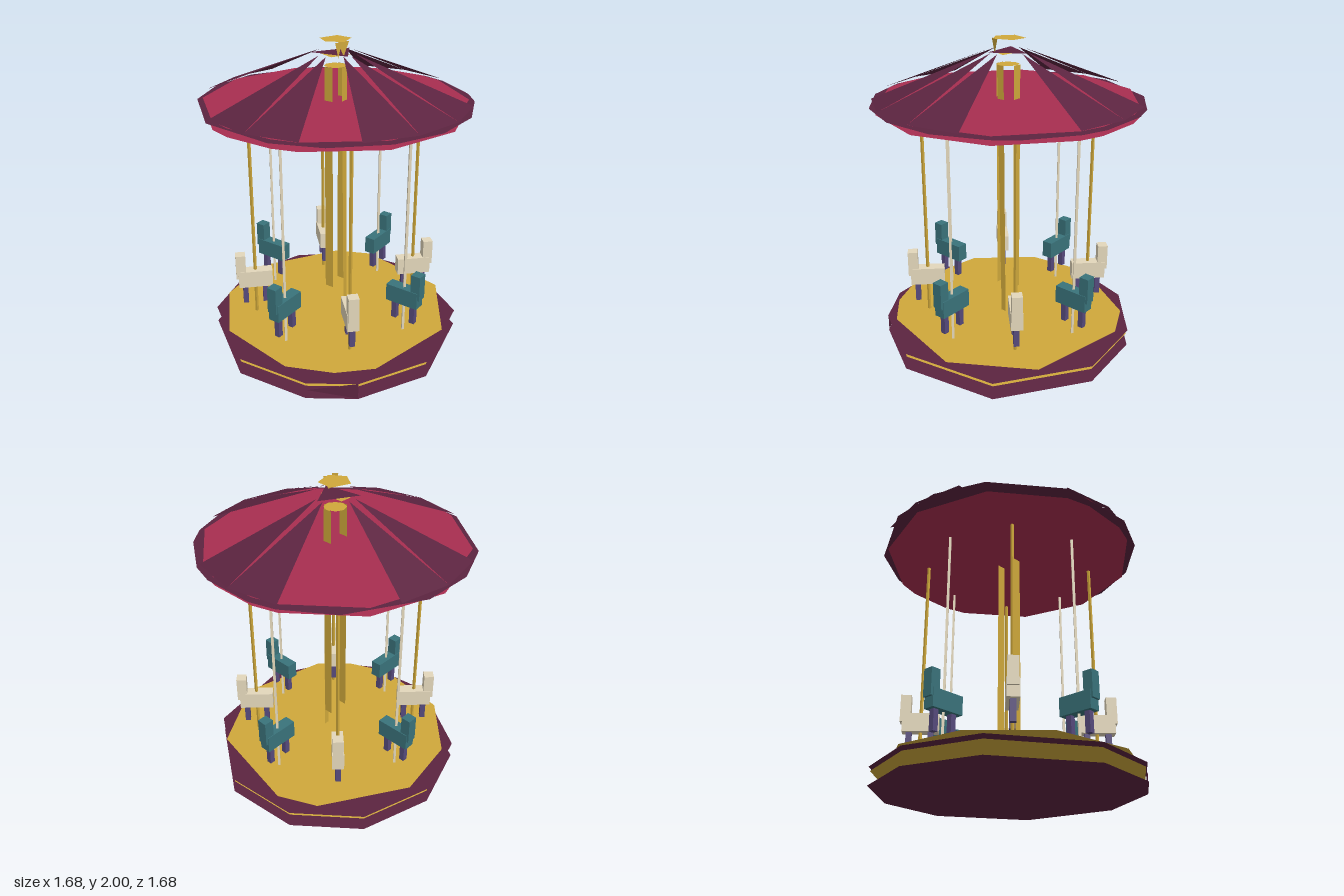
import * as THREE from 'three';

const flat = (name, color) => new THREE.MeshStandardMaterial({ name, color, flatShading: true, side: THREE.DoubleSide });

export function createModel() {
  const plum = flat('plum', 0x5c2440), red = flat('crimson', 0xa82e50), gold = flat('gold', 0xcfa83b);
  const teal = flat('teal', 0x3a737b), ivory = flat('ivory', 0xe3d7bb), violet = flat('violet', 0x564a7c);
  const model = new THREE.Group();

  // Point at an angle in degrees, measured from the front towards the model's left
  const polar = (deg, r, y) => {
    const a = THREE.MathUtils.degToRad(deg);
    return [r * Math.sin(a), y, r * Math.cos(a)];
  };
  // Flat convex panel through the given corners
  const panel = (name, pts, mat, parent = model) => {
    const g = new THREE.BufferGeometry();
    g.setAttribute('position', new THREE.Float32BufferAttribute(pts.flat(), 3));
    const index = [];
    for (let i = 1; i < pts.length - 1; i++) index.push(0, i, i + 1);
    g.setIndex(index);
    g.computeVertexNormals();
    const mesh = new THREE.Mesh(g, mat);
    mesh.name = name;
    parent.add(mesh);
  };
  const disc = (name, angles, r, y, mat) => panel(name, angles.map(a => polar(a, r, y)), mat);

  // Platform: stacked faceted discs and a single side facet
  const baseAngles = [34, 79, 113, 146, 180, 214, 259, 293, 315, 349];
  disc('baseBottom', baseAngles, 0.83, 0, plum);
  disc('baseTrim', baseAngles, 0.82, 0.085, gold);
  disc('baseTop', baseAngles, 0.83, 0.11, plum);
  disc('floor', [11, 54, 105, 125, 172, 205, 241, 282, 305, 324], 0.77, 0.155, gold);
  panel('baseSide', [[-0.585, 0, 0.585], [-0.585, 0.11, 0.585], [-0.76, 0.06, 0.33]], plum);

  // Canopy: layered discs under sloping triangular panels
  const half = [0, 34, 68, 79, 101, 112, 146];
  const redAngles = [...half, ...half.map(a => a + 180)];
  const rimAngles = [11.25, 33.75, 45, 67.5, 78.75, 101.25, 112.5, 135, 168.75,
    191.25, 213.75, 247.5, 281.25, 302, 326.25, 348.75];
  disc('canopyUnderside', redAngles, 0.82, 1.58, red);
  disc('canopyRim', rimAngles, 0.855, 1.622, plum);
  disc('canopyDeck', redAngles, 0.82, 1.632, red);
  for (const a of [-33.75, -11.25, 11.25, 78.75, 101.25, 168.75, 191.25, 258.75, 281.25]) {
    panel('canopyPanel', [polar(a - 11.25, 0.84, 1.64), polar(a + 11.25, 0.84, 1.64), polar(a, 0.135, 1.92)], plum);
  }
  panel('canopyTop', [[-0.085, 1.92, -0.125], [-0.055, 1.92, 0.13], [0.15, 1.92, 0]], plum);

  // Finial
  panel('finialTop', [[-0.03, 2, -0.095], [-0.1, 2, 0], [-0.04, 2, 0.095], [0.085, 2, 0.06], [0.095, 2, -0.054]], gold);
  panel('finialSide', [[-0.1, 2, 0.07], [-0.075, 2, 0.1], [-0.09, 1.91, 0.085]], gold);
  panel('finialSide', [[-0.07, 2, 0.07], [0, 2, 0.1], [-0.035, 1.91, 0.085]], gold);
  disc('finialBottom', [20, 155, 205, 290], 0.095, 1.91, gold);

  // Centre pole: cap and upright strips
  disc('poleTop', [0, 45, 90, 135, 180, 225, 270, 315], 0.07, 1.84, gold);
  panel('poleFront', [[0, 0.12, 0.07], [0.035, 0.12, 0.07], [0.022, 1.84, 0.07], [-0.03, 1.84, 0.07]], gold);
  for (const x of [-0.07, 0.07]) {
    panel('poleSide', [[x, 0.33, -0.03], [x, 0.33, 0.03], [x, 1.84, 0.03], [x, 1.84, -0.03]], gold);
  }

  // Eight mounts, heads pointing outwards, each on a thin rod
  for (let i = 0; i < 8; i++) {
    const coat = i % 2 ? ivory : teal;
    const mount = new THREE.Group();
    mount.name = 'mount';
    mount.rotation.y = i * Math.PI / 4;
    const box = (name, w, h, d, y, z, mat) => {
      const mesh = new THREE.Mesh(new THREE.BoxGeometry(w, h, d), mat);
      mesh.name = name;
      mesh.position.set(0, y, z);
      mount.add(mesh);
    };
    box('body', 0.075, 0.115, 0.225, 0.423, 0.543, coat);
    box('head', 0.066, 0.17, 0.065, 0.515, 0.638, coat);
    for (const z of [0.48, 0.613]) box('leg', 0.035, 0.13, 0.035, 0.302, z, violet);
    const rod = new THREE.Mesh(new THREE.CylinderGeometry(0.011, 0.011, 1.37, 4), i % 2 ? gold : ivory);
    rod.name = 'rod';
    rod.position.set(0, 0.845, 0.543);
    mount.add(rod);
    model.add(mount);
  }
  return model;
}
